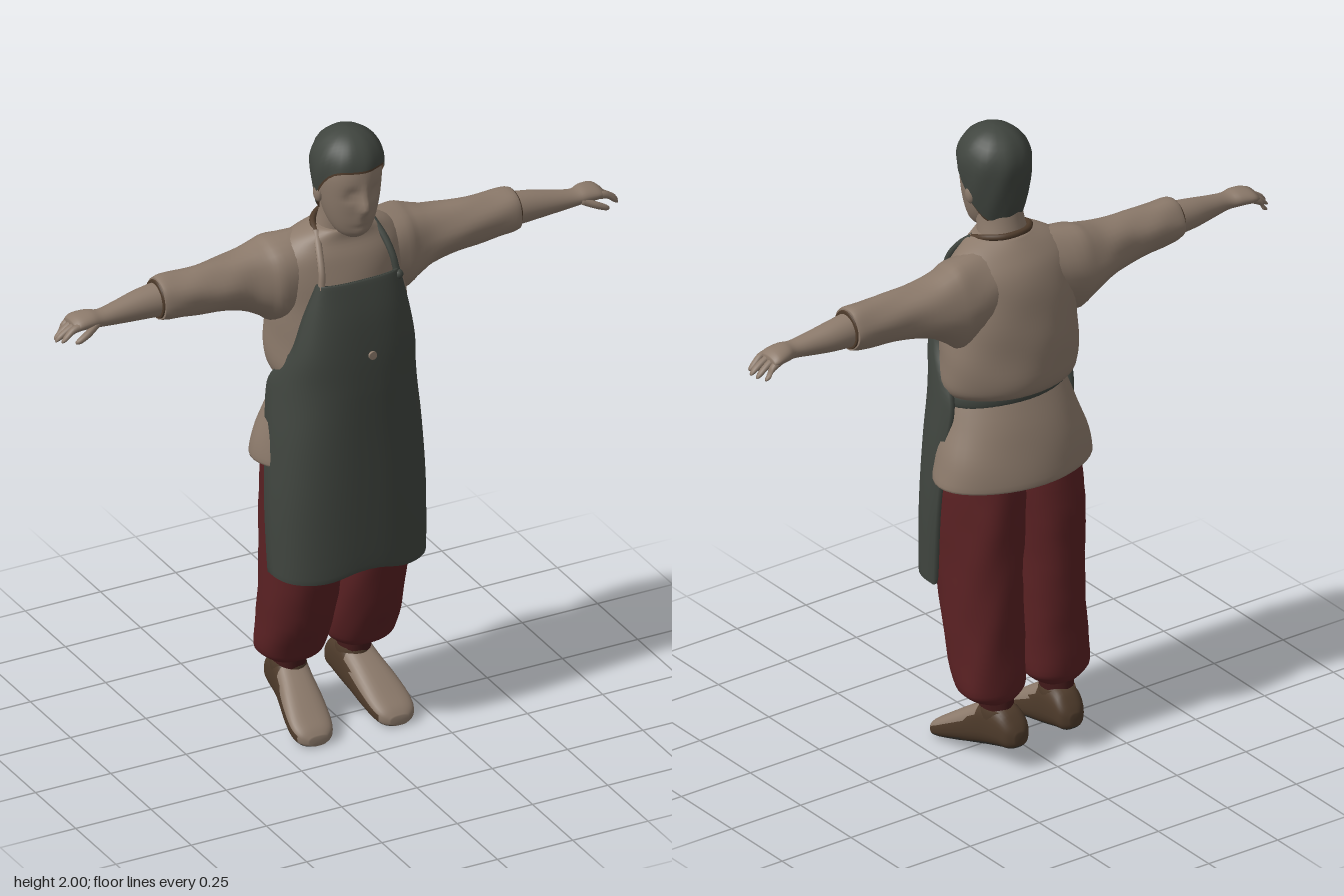
import * as THREE from 'three';

const mat = (name, color, side = THREE.FrontSide) => {
  const m = new THREE.MeshStandardMaterial({ color, side });
  m.name = name;
  return m;
};

// Closed surface from rings; ring(i) gives an array of [x, y, z]. Faces are turned outward.
function skin(rings, caps = true) {
  const n = rings[0].length, pos = rings.flat(2), idx = [];
  for (let i = 0; i < rings.length - 1; i++) {
    for (let j = 0; j < n; j++) {
      const a = i * n + j, b = i * n + (j + 1) % n;
      idx.push(a, a + n, b, b, a + n, b + n);
    }
  }
  if (caps) {
    [0, rings.length - 1].forEach((r, end) => {
      const c = pos.length / 3;
      for (let k = 0; k < 3; k++) pos.push(rings[r].reduce((s, p) => s + p[k], 0) / n);
      for (let j = 0; j < n; j++) {
        const a = r * n + j, b = r * n + (j + 1) % n;
        if (end) idx.push(c, b, a); else idx.push(c, a, b);
      }
    });
  }
  const g = new THREE.BufferGeometry();
  g.setAttribute('position', new THREE.Float32BufferAttribute(pos, 3));
  g.setIndex(idx);
  const v = [0, 1, 2].map(() => new THREE.Vector3());
  let volume = 0;
  for (let i = 0; i < idx.length; i += 3) {
    v.forEach((p, k) => p.fromBufferAttribute(g.attributes.position, idx[i + k]));
    volume += v[0].dot(v[1].clone().cross(v[2]));
  }
  if (volume < 0) flip(g);
  g.computeVertexNormals();
  return g;
}

function flip(g) {
  const a = g.index.array;
  for (let i = 0; i < a.length; i += 3) [a[i], a[i + 1]] = [a[i + 1], a[i]];
}

function mirrored(geo) {
  const g = geo.clone();
  g.scale(-1, 1, 1);
  flip(g);
  g.computeVertexNormals();
  return g;
}

// Smoothly fills in rows of numbers between the given ones
function smoothRows(rows, sub = 4) {
  const out = [], at = i => rows[Math.min(rows.length - 1, Math.max(0, i))];
  for (let i = 0; i < rows.length - 1; i++) {
    for (let s = 0; s < sub; s++) {
      const t = s / sub;
      out.push(rows[i].map((p1, k) => {
        const p0 = at(i - 1)[k], p2 = at(i + 1)[k], p3 = at(i + 2)[k];
        return p1 + 0.5 * t * (p2 - p0 + t * (2 * p0 - 5 * p1 + 4 * p2 - p3 + t * (3 * (p1 - p2) + p3 - p0)));
      }));
    }
  }
  out.push(rows[rows.length - 1]);
  return out;
}

// Loft of oval rings: row = [distance along axis, centre a, centre b, radius a, radius b]
function loft(rows, { axis = 'y', seg = 28, fold = 0, square = 1, shape = p => p } = {}) {
  const place = { y: (t, a, b) => [a, t, b], x: (t, a, b) => [t, a, b], z: (t, a, b) => [a, b, t] }[axis];
  const pw = v => Math.sign(v) * Math.abs(v) ** square;
  return skin(smoothRows(rows).map(([t, a, b, ra, rb]) => Array.from({ length: seg }, (_, j) => {
    const q = j / seg * Math.PI * 2;
    const k = 1 + fold * (Math.sin(5 * q + t * 17) + 0.7 * Math.sin(3 * q - t * 41));
    return shape(place(t, a + ra * k * pw(Math.cos(q)), b + rb * k * pw(Math.sin(q))));
  })));
}

// Cap of hair, low at the nape and high on the forehead
function hairShell(grow, drop) {
  const rings = [];
  for (let i = 0; i <= 14; i++) {
    rings.push(Array.from({ length: 36 }, (_, j) => {
      const q = j / 36 * Math.PI * 2;
      const low = 1.725 + 0.18 * THREE.MathUtils.smoothstep(Math.sin(q), -0.75, 0.85) - drop;
      const top = 1.999 + grow, y = low + (top - low) * Math.sin(i / 14 * Math.PI / 2);
      const d = y - 1.89;
      const r = d > 0 ? Math.sqrt(Math.max(0, 1 - (d / (top - 1.89)) ** 2)) : 1 - 7 * d * d - 0.2 * Math.abs(d);
      const wave = 1 + 0.012 * Math.sin(q * 9 + y * 30);
      return [(0.109 + grow) * r * wave * Math.cos(q), y, 0.066 + (0.117 + grow) * r * wave * Math.sin(q)];
    }));
  }
  return skin(rings, false);
}

// Face relief: nose, eye hollows, lips and chin
function face([x, y, z]) {
  if (z > 0.09) {
    const bump = (cx, cy, sx, sy, amp) => amp * Math.exp(-(((x - cx) / sx) ** 2) - ((y - cy) / sy) ** 2);
    z += bump(0, 1.778, 0.016, 0.022, 0.026) + bump(0, 1.81, 0.013, 0.03, 0.012)
      + bump(0, 1.732, 0.03, 0.012, 0.008) + bump(0, 1.695, 0.025, 0.015, 0.008)
      + bump(0.037, 1.822, 0.02, 0.014, -0.013) + bump(-0.037, 1.822, 0.02, 0.014, -0.013);
  }
  return [x, y, z];
}

export function createModel() {
  const model = new THREE.Group();
  const tan = mat('tan cloth and skin', 0x8c7a6b);
  const green = mat('dark green cloth', 0x40453f, THREE.DoubleSide);
  const red = mat('dark red cloth', 0x5a2123);
  const darkRed = mat('deep red sock', 0x431a1a);
  const brown = mat('brown leather', 0x4e3b2b, THREE.DoubleSide);
  const sole = mat('sole grey', 0x3c3b37);
  const add = (name, geo, material) => {
    const m = new THREE.Mesh(geo, material);
    m.name = name;
    model.add(m);
    return m;
  };
  const pair = (name, geo, material) => {
    add(name + 'Left', geo, material);
    add(name + 'Right', mirrored(geo), material);
  };

  // Head and hair
  add('head', loft([[1.665, 0, 0.105, 0.03, 0.03], [1.685, 0, 0.095, 0.055, 0.058], [1.73, 0, 0.082, 0.076, 0.084],
    [1.8, 0, 0.075, 0.092, 0.098], [1.88, 0, 0.068, 0.098, 0.104], [1.95, 0, 0.066, 0.075, 0.08], [1.985, 0, 0.066, 0.03, 0.03]],
    { seg: 64, shape: face }), tan);
  add('neck', loft([[1.58, 0, 0.02, 0.095, 0.085], [1.66, 0, 0.025, 0.078, 0.072], [1.72, 0, 0.04, 0.07, 0.072], [1.78, 0, 0.05, 0.07, 0.07]]), tan);
  add('hair', hairShell(0, 0), green);
  add('hairEdge', hairShell(-0.003, 0.008), brown);
  const ear = new THREE.SphereGeometry(1, 12, 10).scale(0.013, 0.03, 0.02).translate(0.093, 1.8, 0.058);
  pair('ear', ear, tan);

  // Shirt: bloused body, skirt and sleeves
  add('shirtBody', loft([[1.175, 0, 0.015, 0.185, 0.11], [1.2, 0, 0, 0.208, 0.15], [1.24, 0, -0.004, 0.22, 0.166], [1.32, 0, -0.006, 0.222, 0.167],
    [1.42, 0, -0.008, 0.218, 0.158], [1.52, 0, -0.004, 0.212, 0.144], [1.59, 0, 0, 0.205, 0.122], [1.64, 0, 0.008, 0.16, 0.092], [1.675, 0, 0.025, 0.085, 0.075]],
    { seg: 48, fold: 0.009 }), tan);
  add('shirtSkirt', loft([[0.915, 0, -0.024, 0.255, 0.155], [0.92, 0, -0.024, 0.265, 0.166], [1.0, 0, -0.018, 0.25, 0.158],
    [1.1, 0, -0.005, 0.218, 0.138], [1.2, 0, 0.015, 0.185, 0.11]], { seg: 40, fold: 0.006 }), tan);
  pair('sleeve', loft([[0.08, 1.53, -0.015, 0.115, 0.1], [0.2, 1.508, -0.02, 0.137, 0.105], [0.25, 1.512, -0.026, 0.118, 0.097],
    [0.31, 1.522, -0.027, 0.093, 0.086], [0.4, 1.53, -0.018, 0.077, 0.076], [0.5, 1.534, -0.015, 0.071, 0.07],
    [0.57, 1.537, -0.014, 0.069, 0.066], [0.592, 1.537, -0.014, 0.064, 0.062]], { axis: 'x', fold: 0.022 }), tan);
  pair('cuffEdge', loft([[0.588, 1.537, -0.014, 0.062, 0.06], [0.597, 1.537, -0.014, 0.058, 0.056]], { axis: 'x' }), brown);

  // Forearms and hands
  pair('forearm', loft([[0.56, 1.537, -0.014, 0.055, 0.052], [0.65, 1.533, -0.014, 0.046, 0.045], [0.73, 1.529, -0.008, 0.034, 0.035],
    [0.785, 1.528, -0.004, 0.026, 0.031], [0.82, 1.532, -0.008, 0.026, 0.04], [0.86, 1.53, -0.012, 0.022, 0.045], [0.88, 1.524, -0.012, 0.014, 0.038]],
    { axis: 'x' }), tan);
  for (let i = 0; i < 4; i++) {
    const z = 0.02 - i * 0.021, end = [0.922, 0.932, 0.925, 0.908][i], dip = 0.004 * i;
    pair('finger' + (i + 1), loft([[0.85, 1.53, z, 0.013, 0.012], [0.885, 1.523 - dip, z, 0.012, 0.011],
      [end - 0.012, 1.503 - dip, z, 0.01, 0.01], [end, 1.493 - dip, z, 0.004, 0.005]], { axis: 'x', seg: 10 }), tan);
  }
  pair('thumb', loft([[0.8, 1.525, 0.015, 0.014, 0.014], [0.84, 1.508, 0.033, 0.013, 0.012],
    [0.872, 1.494, 0.038, 0.01, 0.01], [0.885, 1.489, 0.037, 0.004, 0.004]], { axis: 'x', seg: 10 }), tan);

  // Apron: row = [height, half width, z of side edge, z of front, thickness]
  const apronRows = smoothRows([[0.572, 0.243, 0.032, 0.195, 0.001], [0.58, 0.247, 0.03, 0.203, 0.018], [0.8, 0.249, 0.014, 0.205, 0.018],
    [1.0, 0.238, -0.002, 0.205, 0.018], [1.13, 0.226, -0.02, 0.206, 0.018], [1.2, 0.217, -0.005, 0.206, 0.018], [1.3, 0.195, 0.075, 0.203, 0.018],
    [1.42, 0.168, 0.1, 0.192, 0.018], [1.52, 0.14, 0.122, 0.172, 0.016], [1.535, 0.135, 0.125, 0.165, 0.001]]);
  add('apron', skin(apronRows.map(([y, w, ze, zf, th]) => {
    const arc = inset => Array.from({ length: 33 }, (_, j) => {
      const q = (j / 16 - 1) * Math.PI / 2, s = Math.sin(q);
      const notch = 0.025 * Math.exp(-((s / 0.3) ** 2)) * THREE.MathUtils.smoothstep(0.8 - y, 0, 0.22);
      return [(w - inset) * Math.sign(s) * Math.abs(s) ** 0.8, y + notch, ze + (zf - inset - ze) * Math.abs(Math.cos(q)) ** 0.65];
    });
    return [...arc(0), ...arc(th).reverse()];
  }), false), green);
  add('apronTie', loft([[1.15, 0, 0.012, 0.2, 0.118], [1.165, 0, 0.012, 0.205, 0.125], [1.185, 0, 0.012, 0.205, 0.125], [1.2, 0, 0.012, 0.2, 0.118]], { seg: 40 }), green);
  const tube = (pts, r) => new THREE.TubeGeometry(new THREE.CatmullRomCurve3(pts.map(p => new THREE.Vector3(...p))), 24, r, 8);
  const strap = tube([[0.125, 1.52, 0.14], [0.118, 1.57, 0.128], [0.108, 1.62, 0.095], [0.092, 1.665, 0.045]], 0.011);
  add('apronStrapLeft', strap, green);
  add('apronStrapRight', mirrored(strap), tan);
  add('neckBand', tube([[0.092, 1.66, 0.05], [0.08, 1.675, 0.0], [0.045, 1.682, -0.037], [0, 1.684, -0.047],
    [-0.045, 1.682, -0.037], [-0.08, 1.675, 0.0], [-0.092, 1.66, 0.05]], 0.01), brown);
  add('strapButton', new THREE.SphereGeometry(0.016, 12, 8).translate(0.125, 1.515, 0.148), green);
  add('apronStud', new THREE.CylinderGeometry(0.013, 0.013, 0.008, 14).rotateX(Math.PI / 2).translate(0.01, 1.3, 0.206), tan);

  // Gathered trousers and socks
  pair('trouserLeg', loft([[0.2, 0.11, -0.088, 0.052, 0.055], [0.222, 0.115, -0.078, 0.09, 0.08], [0.26, 0.115, -0.07, 0.108, 0.093],
    [0.4, 0.113, -0.038, 0.11, 0.122], [0.6, 0.112, -0.012, 0.109, 0.15], [0.8, 0.108, -0.01, 0.113, 0.154], [0.97, 0.1, -0.008, 0.115, 0.14]],
    { seg: 36, fold: 0.014, square: 0.88 }), red);
  pair('sock', loft([[0.12, 0.108, -0.095, 0.045, 0.052], [0.17, 0.108, -0.095, 0.048, 0.056], [0.24, 0.11, -0.09, 0.054, 0.06]], { fold: 0.015 }), darkRed);

  // Shoes: brown sides, tan upper, grey underside
  const shoe = loft([[-0.203, 0.1, 0.105, 0.018, 0.02], [-0.185, 0.1, 0.112, 0.042, 0.042], [-0.15, 0.103, 0.125, 0.052, 0.062],
    [-0.09, 0.107, 0.122, 0.056, 0.075], [-0.035, 0.115, 0.1, 0.06, 0.066], [0.03, 0.125, 0.072, 0.067, 0.052],
    [0.09, 0.133, 0.045, 0.067, 0.037], [0.125, 0.135, 0.03, 0.055, 0.027], [0.143, 0.135, 0.022, 0.03, 0.015]], { axis: 'z', square: 0.75, seg: 32 });
  const P = shoe.attributes.position, buckets = [[], [], []], tri = new THREE.Triangle(), n = new THREE.Vector3();
  for (let i = 0; i < shoe.index.count; i += 3) {
    const f = [0, 1, 2].map(k => shoe.index.getX(i + k));
    tri.setFromAttributeAndIndices(P, ...f);
    tri.getNormal(n);
    const z = (tri.a.z + tri.b.z + tri.c.z) / 3;
    buckets[n.y < -0.6 ? 2 : n.y > 0.2 && z > -0.06 || z > 0.12 ? 1 : 0].push(...f);
  }
  shoe.setIndex(buckets.flat());
  let start = 0;
  buckets.forEach((b, i) => { shoe.addGroup(start, b.length, i); start += b.length; });
  pair('shoe', shoe, [brown, tan, sole]);
  pair('shoeCollar', loft([[0.11, 0.107, -0.1, 0.052, 0.064], [0.16, 0.107, -0.1, 0.053, 0.063], [0.18, 0.107, -0.1, 0.05, 0.06]]), brown);

  // Centre and set on the ground
  const box = new THREE.Box3().setFromObject(model);
  model.children.forEach(m => m.position.y -= box.min.y);
  return model;
}
